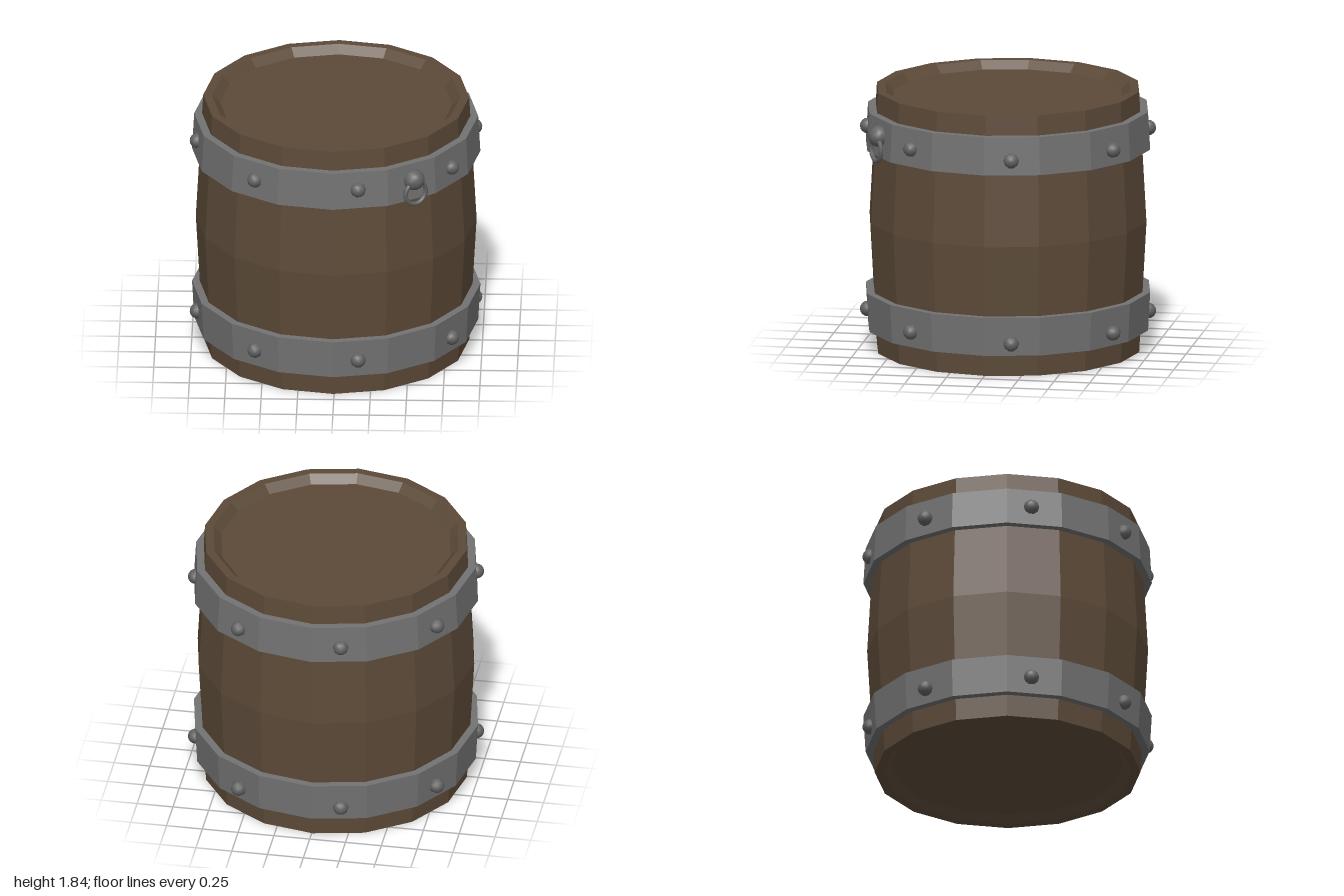
import * as THREE from 'three';

const SIDES = 16;

// Faceted turned shape from a [radius, y] profile, listed bottom to top
function facetedLathe(profile) {
  const points = profile.map(([r, y]) => new THREE.Vector2(r, y));
  const geo = new THREE.LatheGeometry(points, SIDES).toNonIndexed();
  geo.computeVertexNormals();
  return geo;
}

export function createModel() {
  const wood = new THREE.MeshStandardMaterial({ color: 0x5c4a38 });
  wood.name = 'wood';
  const iron = new THREE.MeshStandardMaterial({ color: 0x727272 });
  iron.name = 'iron';
  const darkIron = new THREE.MeshStandardMaterial({ color: 0x626262 });
  darkIron.name = 'darkIron';

  const model = new THREE.Group();
  model.name = 'barrel';
  const add = (name, geo, mat, parent = model) => {
    const mesh = new THREE.Mesh(geo, mat);
    mesh.name = name;
    parent.add(mesh);
    return mesh;
  };
  // Place a part on the barrel wall, facing outward
  const onWall = (obj, degrees, radius, y) => {
    const a = THREE.MathUtils.degToRad(degrees);
    obj.position.set(Math.sin(a) * radius, y, Math.cos(a) * radius);
    obj.rotation.y = a;
  };

  // Staves with a recessed lid and base
  add('body', facetedLathe([
    [0, 0.05], [0.8, 0.05], [0.855, 0], [0.915, 0], [0.966, 0.918],
    [0.915, 1.835], [0.855, 1.835], [0.8, 1.78], [0, 1.78],
  ]), wood);

  // Hoops, following the taper of the staves
  add('lowerHoop', facetedLathe([[0.9, 0.155], [0.977, 0.155], [0.992, 0.425], [0.9, 0.425]]), iron);
  add('upperHoop', facetedLathe([[0.9, 1.43], [0.992, 1.43], [0.977, 1.695], [0.9, 1.695]]), iron);

  // Rivets: [angle from front, distance from axis, height on the upper hoop]
  const rivets = [
    [10.3, 0.965, 1.565], [56.2, 0.97, 1.555], [101, 0.965, 1.53], [147, 0.98, 1.54],
    [192, 0.965, 1.54], [235, 0.98, 1.55], [280, 0.965, 1.565], [326, 0.965, 1.563],
  ];
  const rivetGeo = new THREE.SphereGeometry(0.054, 10, 8);
  rivetGeo.rotateX(Math.PI / 2);
  for (const [angle, radius, y] of rivets) {
    onWall(add('upperRivet', rivetGeo, darkIron), angle, radius, y);
    onWall(add('lowerRivet', rivetGeo, darkIron), angle, radius, y - 1.29);
  }

  // Knob with a hanging ring
  const handle = new THREE.Group();
  handle.name = 'ringHandle';
  model.add(handle);
  const knobGeo = new THREE.SphereGeometry(0.076, 12, 8);
  knobGeo.rotateX(Math.PI / 2);
  add('knob', knobGeo, darkIron, handle);
  add('ring', new THREE.TorusGeometry(0.083, 0.016, 8, 24), darkIron, handle).position.set(0, -0.09, 0.024);
  onWall(handle, 34.5, 0.976, 1.58);

  model.position.set(-0.007, 0, -0.007);
  const root = new THREE.Group();
  root.name = 'barrelRoot';
  root.add(model);
  return root;
}
